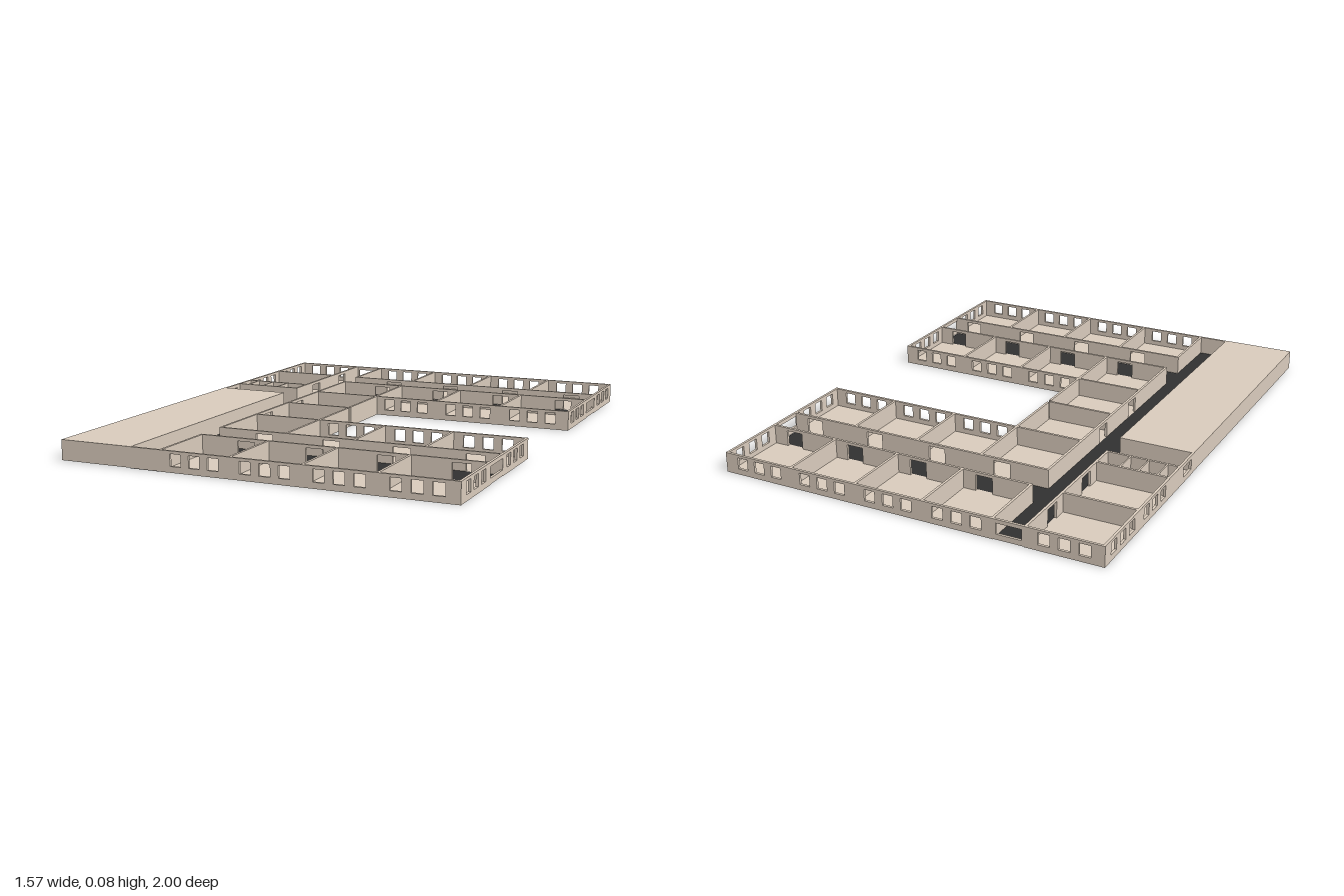
import * as THREE from 'three';

const H = 0.08, T = 0.01;          // wall height and thickness
const FLOOR = 0.004;               // floor slab thickness
const tan = new THREE.MeshStandardMaterial({ color: 0xd8cabb });
const dark = new THREE.MeshStandardMaterial({ color: 0x303030 });

const colX = [-0.22, 0.061, 0.344, 0.627];   // room centres along the wings
const OFF = 0.0765;                          // window spacing

// Openings: c = centre along the wall, w = width, y0..y1 = height range
const windows = c => [-OFF, 0, OFF].map(d => ({ c: c + d, w: 0.044, y0: 0.023, y1: 0.069 }));
const wide = (c, w = 0.133) => [{ c, w, y0: 0.023, y1: 0.065 }];
const door = c => [{ c: c + 0.05, w: 0.07, y0: 0.003, y1: 0.068 }];

export function createModel() {
  const group = new THREE.Group();

  const box = (name, x0, x1, y0, y1, z0, z1, mat = tan) => {
    const m = new THREE.Mesh(new THREE.BoxGeometry(x1 - x0, y1 - y0, z1 - z0), mat);
    m.position.set((x0 + x1) / 2, (y0 + y1) / 2, (z0 + z1) / 2);
    m.name = name;
    group.add(m);
  };

  const wallGeometry = (a, b, openings) => {
    const s = new THREE.Shape();
    s.moveTo(a, 0.002).lineTo(b, 0.002).lineTo(b, H).lineTo(a, H).closePath();
    for (const o of openings) {
      const h = new THREE.Path(), l = o.c - o.w / 2, r = o.c + o.w / 2;
      h.moveTo(l, o.y0).lineTo(l, o.y1).lineTo(r, o.y1).lineTo(r, o.y0).closePath();
      s.holes.push(h);
    }
    return new THREE.ExtrudeGeometry(s, { depth: T, bevelEnabled: false }).translate(0, 0, -T / 2);
  };

  // Wall running along x at a given z
  const wallX = (name, z, x0, x1, openings = []) => {
    const m = new THREE.Mesh(wallGeometry(x0, x1, openings), tan);
    m.position.z = z;
    m.name = name;
    group.add(m);
  };

  // Wall running along z at a given x
  const wallZ = (name, x, z0, z1, openings = []) => {
    const m = new THREE.Mesh(wallGeometry(z0, z1, openings).rotateY(-Math.PI / 2), tan);
    m.position.x = x;
    m.name = name;
    group.add(m);
  };

  // Room floors
  for (const [x0, x1, z0, z1] of [
    [-0.365, 0.78, -1, -0.702], [-0.365, 0.78, -0.578, -0.283],
    [-0.365, -0.073, -0.283, 0.272], [-0.365, 0.78, 0.272, 0.568],
    [-0.365, 0.78, 0.7, 1], [-0.785, -0.485, -1, -0.2],
  ]) box('roomFloor', x0, x1, 0, FLOOR, z0, z1);

  // Corridor floors
  box('mainCorridorFloor', -0.485, -0.365, 0, FLOOR, -0.99, 1, dark);
  box('backCorridorFloor', -0.365, 0.765, 0, FLOOR, -0.702, -0.578, dark);
  box('frontCorridorFloor', -0.365, 0.765, 0, FLOOR, 0.568, 0.7, dark);

  // Outer walls facing back, front and courtyard
  const allWindows = colX.flatMap(windows);
  const courtWindows = colX.slice(1).flatMap(windows);
  wallX('backOuterWall', -0.995, -0.785, 0.78, [...allWindows, ...windows(-0.635), ...wide(-0.425, 0.1)]);
  wallX('frontOuterWall', 0.995, -0.785, 0.78, allWindows);
  wallX('backCourtyardWall', -0.288, -0.36, 0.78, courtWindows);
  wallX('frontCourtyardWall', 0.277, -0.36, 0.78, courtWindows);
  wallZ('innerCourtyardWall', -0.078, -0.283, -0.012);
  wallZ('innerCourtyardWall', -0.078, 0.008, 0.272);

  // Wing end walls
  wallZ('backWingEndWall', 0.775, -0.99, -0.293, [...windows(-0.853), ...wide(-0.638), ...windows(-0.426)]);
  wallZ('frontWingEndWall', 0.775, 0.282, 0.99, [...windows(0.427), ...wide(0.638), ...windows(0.852)]);

  // Corridor walls with a door for every room
  const roomDoors = colX.flatMap(door);
  for (const z of [-0.709, -0.574, 0.563, 0.706]) wallX('corridorWall', z, -0.366, 0.77, roomDoors);

  // Partitions between rooms
  for (const x of [-0.079, 0.203, 0.485])
    for (const [z0, z1] of [[-0.99, -0.714], [-0.569, -0.293], [0.282, 0.558], [0.711, 0.99]])
      wallZ('roomPartition', x, z0, z1);
  wallX('roomPartition', -0.004, -0.356, -0.083);

  // Main corridor walls
  wallZ('mainCorridorWall', -0.361, -0.99, -0.714);
  wallZ('mainCorridorWall', -0.361, -0.569, 0.558, [...door(-0.147), ...door(0.136)]);
  wallZ('mainCorridorWall', -0.361, 0.711, 0.99);
  wallZ('mainCorridorWall', -0.488, -0.99, -0.335, [...door(-0.853), ...door(-0.575)]);

  // Right-hand rooms beside the main corridor
  wallZ('rightOuterWall', -0.78, -0.99, -0.2, [...windows(-0.853), ...windows(-0.575), ...wide(-0.262, 0.08)]);
  for (const z of [-0.713, -0.432, -0.33]) wallX('sideRoomPartition', z, -0.775, -0.483);

  // Two small cubicles
  for (const x of [-0.733, -0.658, -0.584]) box('cubicleWall', x - 0.003, x + 0.003, FLOOR, H, -0.427, -0.335);

  // Roofed hall, open underneath
  wallZ('hallOuterWall', -0.78, -0.2, 0.99);
  wallZ('hallCorridorWall', -0.488, -0.2, 0.99);
  wallX('hallBackWall', -0.195, -0.775, -0.493);
  box('hallRoof', -0.785, -0.483, H - 0.005, H + 0.0005, -0.2, 1);

  return group;
}
